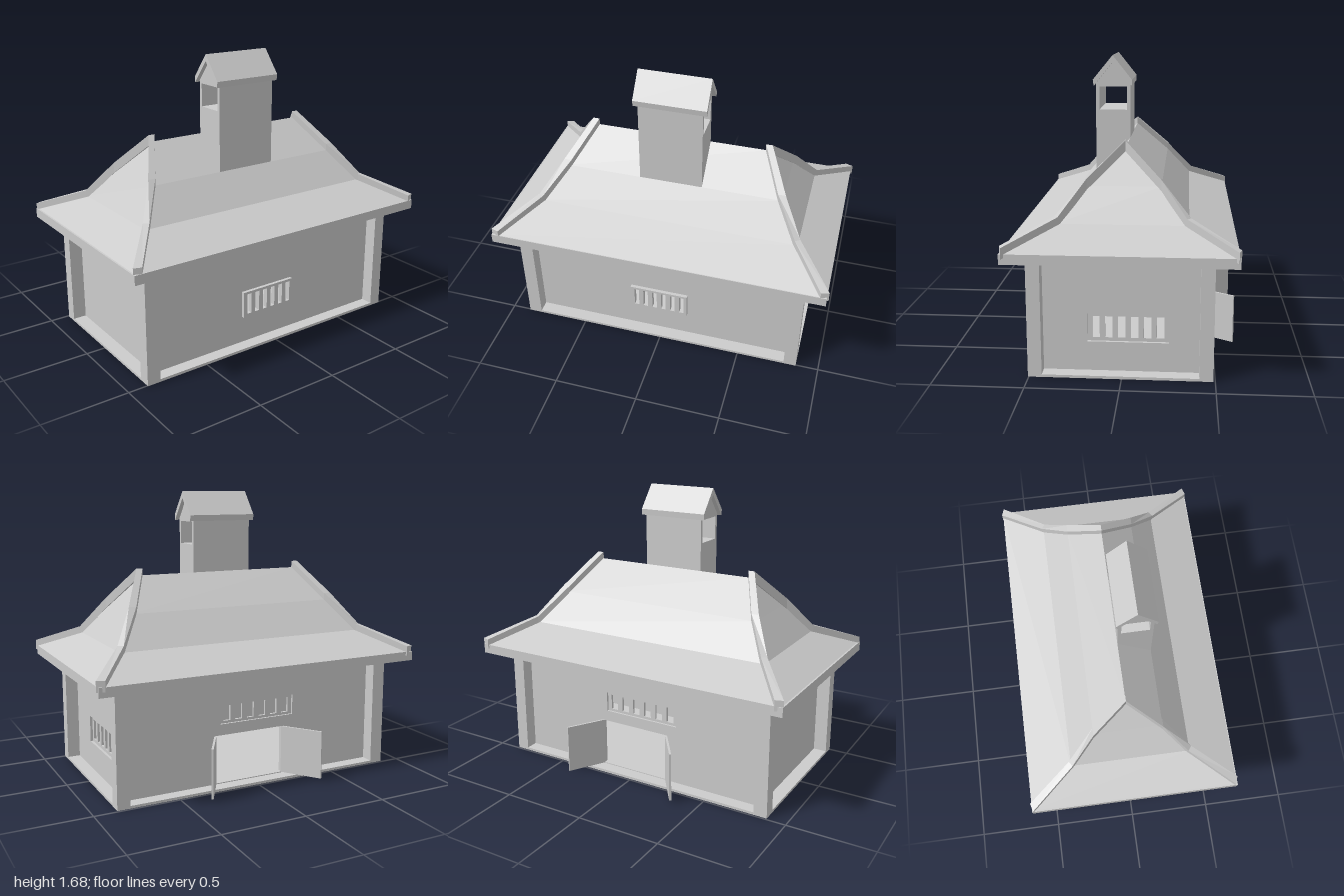
import * as THREE from 'three';

const mat = new THREE.MeshStandardMaterial({ color: 0xcccccc, flatShading: true, side: THREE.DoubleSide });

function add(parent, name, geometry) {
  const mesh = new THREE.Mesh(geometry, mat);
  mesh.name = name;
  parent.add(mesh);
  return mesh;
}

// Box given by its two extreme corners
function box(parent, name, x0, x1, y0, y1, z0, z1) {
  const mesh = add(parent, name, new THREE.BoxGeometry(x1 - x0, y1 - y0, z1 - z0));
  mesh.position.set((x0 + x1) / 2, (y0 + y1) / 2, (z0 + z1) / 2);
  return mesh;
}

const outline = (pts) => pts.map(([x, y]) => new THREE.Vector2(x, y));
const rect = ([a0, a1, y0, y1]) => outline([[a0, y0], [a1, y0], [a1, y1], [a0, y1]]);

// Upright panel with holes; alongZ turns it so that its width runs along z and its depth towards -x
function panel(parent, name, points, holes, depth, alongZ, offset) {
  const shape = new THREE.Shape(points);
  holes.forEach((h) => shape.holes.push(new THREE.Path(rect(h))));
  const geometry = new THREE.ExtrudeGeometry(shape, { depth, bevelEnabled: false });
  if (alongZ) geometry.rotateY(-Math.PI / 2).translate(offset, 0, 0);
  else geometry.translate(0, 0, offset);
  return add(parent, name, geometry);
}

// Row of n slots with equal bars between them
function slots(a0, a1, y0, y1, n, barRatio) {
  const slot = (a1 - a0) / (n + (n - 1) * barRatio);
  return Array.from({ length: n }, (_, i) => {
    const a = a0 + i * slot * (1 + barRatio);
    return [a, a + slot, y0, y1];
  });
}

// Flat-shaded surface from quads of corner points
function quads(list) {
  const pos = [];
  list.forEach(([a, b, c, d]) => pos.push(...a, ...b, ...c, ...a, ...c, ...d));
  const geometry = new THREE.BufferGeometry();
  geometry.setAttribute('position', new THREE.Float32BufferAttribute(pos, 3));
  geometry.computeVertexNormals();
  return geometry;
}

function buildBody(group) {
  const body = new THREE.Group();
  body.name = 'body';
  group.add(body);
  box(body, 'floor', -0.49, 0.505, 0, 0.015, -0.865, 0.885);
  for (const [x0, x1] of [[-0.49, -0.415], [0.43, 0.505]])
    for (const [z0, z1] of [[-0.865, -0.79], [0.805, 0.885]])
      box(body, 'cornerPost', x0, x1, 0, 0.67, z0, z1);

  const t = 0.03, top = 0.67;
  const window = [-0.16, 0.2, 0.18, 0.34];
  const backVent = [-0.25, 0.19, 0.18, 0.34];
  const sideVent = [-0.21, 0.27, 0.37, 0.49];
  const doorway = [-0.24, 0.2, 0.02, 0.305];
  const across = rect([-0.415, 0.43, 0.01, top]);
  const along = rect([-0.79, 0.805, 0.01, top]);
  panel(body, 'frontWall', across, [], t, false, 0.805 - t);
  panel(body, 'backWall', across, [backVent], t, false, -0.79);
  panel(body, 'leftWall', along, [window], t, true, 0.43);
  panel(body, 'rightWall', along, [sideVent, doorway], t, true, -0.415 + t);

  // Barred window and slotted vents
  panel(body, 'barredWindow', rect(window), slots(-0.14, 0.175, 0.2, 0.325, 6, 1), 0.03, true, 0.45);
  panel(body, 'backVent', rect(backVent), slots(-0.225, 0.165, 0.2, 0.32, 6, 0.7), 0.015, false, -0.775);
  panel(body, 'sideVent', rect(sideVent), slots(-0.185, 0.245, 0.385, 0.475, 6, 0.7), 0.015, true, -0.388);

  // Open double doors
  for (const [z, tip] of [[-0.24, -0.36], [0.2, 0.35]]) {
    const dx = -0.205, dz = tip - z;
    const door = add(body, 'door', new THREE.BoxGeometry(Math.hypot(dx, dz), 0.285, 0.012));
    door.position.set(-0.412 + dx / 2, 0.162, z + dz / 2);
    door.rotation.y = Math.atan2(-dz, dx);
  }
}

function buildRoof(group) {
  const roof = new THREE.Group();
  roof.name = 'roof';
  group.add(roof);
  box(roof, 'eaves', -0.61, 0.615, 0.665, 0.72, -0.99, 1);

  // Bell-shaped hipped roof: half width, half length, height
  const rings = [[0.61, 0.99, 0.72], [0.35, 0.78, 0.83], [0.2, 0.652, 1.01], [0, 0.52, 1.2]];
  const corners = ([x, z, y]) => [[x, y, z], [x, y, -z], [-x, y, -z], [-x, y, z]];
  const faces = [];
  for (let i = 0; i < 3; i++) {
    const lo = corners(rings[i]), hi = corners(rings[i + 1]);
    for (let k = 0; k < 4; k++) {
      const n = (k + 1) % 4;
      faces.push([lo[k], lo[n], hi[n], hi[k]]);
    }
  }
  add(roof, 'roofSlopes', quads(faces));

  // Raised ridge strips along the hips, meeting at a peak over each end
  const outer = [[0.6, 1], [0.34, 0.79], [0.2, 0.67], [0, 0.545]];
  const inner = [[0.615, 0.955], [0.36, 0.762], [0.2, 0.625], [0, 0.507]];
  const heights = [0.755, 0.867, 1.05, 1.24];
  for (const sz of [1, -1]) for (const sx of [1, -1]) {
    const sections = heights.map((y, i) => {
      const [ox, oz] = outer[i], [ix, iz] = inner[i];
      return [[ox, y, oz], [ix, y, iz], [ix, y - 0.06, iz], [ox, y - 0.06, oz]]
        .map(([x, h, z]) => [x * sx, h, z * sz]);
    });
    const strip = [sections[0], [...sections[3]].reverse()];
    for (let i = 0; i < 3; i++) for (let k = 0; k < 4; k++) {
      const n = (k + 1) % 4;
      strip.push([sections[i][n], sections[i][k], sections[i + 1][k], sections[i + 1][n]]);
    }
    if (sx * sz < 0) strip.forEach((q) => q.reverse());
    add(roof, 'hipRidge', quads(strip));
  }
}

function buildTurret(group) {
  const turret = new THREE.Group();
  turret.name = 'turret';
  group.add(turret);
  // Shaft with an open bell chamber
  panel(turret, 'turretShaft', outline([[0, 0.95], [0.2, 0.95], [0.2, 1.52], [0.1, 1.64], [0, 1.52]]),
    [[0.02, 0.18, 1.365, 1.5]], 0.375, false, -0.18);
  // Gabled cap
  panel(turret, 'turretRoof', outline([[-0.01, 1.505], [0.1, 1.64], [0.21, 1.505], [0.215, 1.54], [0.1, 1.68], [-0.012, 1.54]]),
    [], 0.425, false, -0.205);
}

export function createModel() {
  const group = new THREE.Group();
  group.name = 'building';
  buildBody(group);
  buildRoof(group);
  buildTurret(group);
  return group;
}
